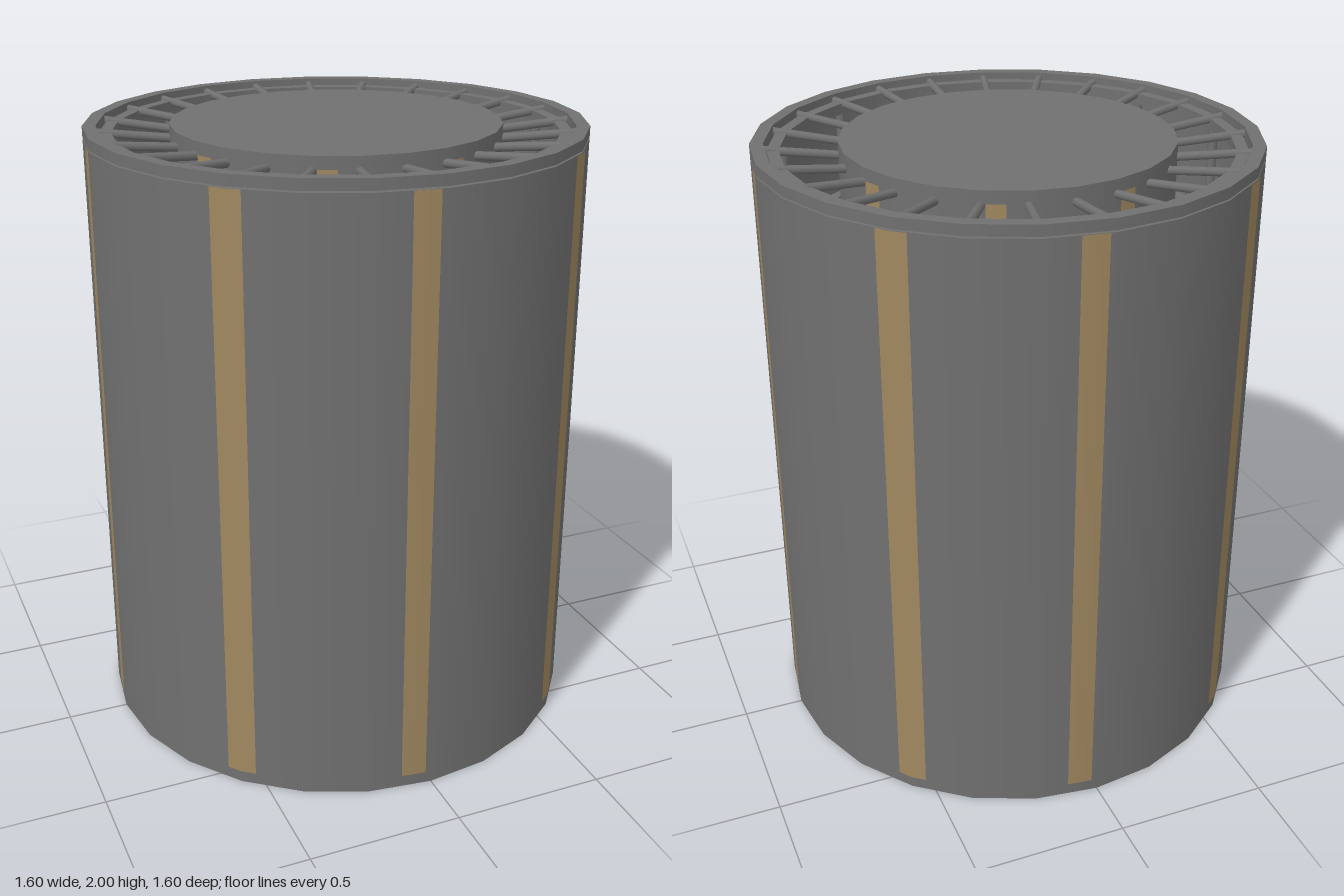
import * as THREE from 'three';

const SIDES = 24;
const STEP = (Math.PI * 2) / SIDES;
const rad = THREE.MathUtils.degToRad;

export function createModel() {
  const root = new THREE.Group();
  root.name = 'ribbedCylinder';
  const grey = new THREE.MeshStandardMaterial({ color: 0x707070 });
  grey.name = 'grey metal';
  const gold = new THREE.MeshStandardMaterial({ color: 0xa08860 });
  gold.name = 'dull gold';

  const add = (name, geo, mat, parent = root) => {
    const m = new THREE.Mesh(geo, mat);
    m.name = name;
    parent.add(m);
    return m;
  };
  const group = (name) => {
    const g = new THREE.Group();
    g.name = name;
    root.add(g);
    return g;
  };

  // Band of rectangular section; doubled corners keep its edges sharp
  const band = (rOut, rIn, y0, y1) => {
    const c = [[rOut, y0], [rOut, y1], [rIn, y1], [rIn, y0]];
    const pts = [];
    for (let i = 0; i < 4; i++) {
      pts.push(new THREE.Vector2(...c[i]), new THREE.Vector2(...c[(i + 1) % 4]));
    }
    return new THREE.LatheGeometry(pts, SIDES);
  };

  // Thin strip that follows the flat sides of a 24-sided cylinder
  const strip = (r, from, to, y0, y1) => {
    const geo = new THREE.CylinderGeometry(r, r, y1 - y0, 2, 1, true, rad(from), rad(to - from));
    geo.translate(0, (y0 + y1) / 2, 0);
    const p = geo.attributes.position;
    for (let i = 0; i < p.count; i++) {
      const a = Math.atan2(p.getX(i), p.getZ(i));
      const off = a - (Math.floor(a / STEP) + 0.5) * STEP;
      const d = (r * Math.cos(STEP / 2)) / Math.cos(off) + 0.003;
      p.setXYZ(i, Math.sin(a) * d, p.getY(i), Math.cos(a) * d);
    }
    return geo;
  };

  // Outer shell and the top rim, parted by a hairline gap
  add('outerWall', band(0.8, 0.762, 0, 1.96), grey);
  add('topRim', band(0.8, 0.758, 1.965, 2), grey);

  // Gold stripes on the shell
  const stripes = group('wallStripes');
  for (let i = 0; i < 4; i++) {
    add('sideStripe', strip(0.8, -7.2 + i * 90, -1.4 + i * 90, 0.04, 1.96), gold, stripes);
    add('cornerStripe', strip(0.8, 41.5 + i * 90, 48.5 + i * 90, 0.04, 1.96), gold, stripes);
  }

  // Inner frame: seven hoops and twelve posts
  const frame = group('innerFrame');
  for (let i = 0; i < 7; i++) {
    const y = 0.04 + i * 0.32;
    add('hoop', band(0.75, 0.712, y - 0.018, y + 0.018), grey, frame);
  }
  for (let i = 0; i < 12; i++) {
    const a = rad(i * 30);
    const post = add('post', new THREE.CylinderGeometry(0.016, 0.016, 1.92, 8), grey, frame);
    post.position.set(Math.sin(a) * 0.732, 1, Math.cos(a) * 0.732);
  }

  // Central drum with its own stripes
  const drum = group('centralDrum');
  const body = add('drumBody', new THREE.CylinderGeometry(0.53, 0.53, 1.1, SIDES), grey, drum);
  body.position.y = 1.45;
  for (let i = 0; i < 8; i++) {
    add('drumStripe', strip(0.53, 16.5 + i * 45, 23 + i * 45, 0.92, 1.96), gold, drum);
  }

  // Spokes joining the drum to the shell
  const spokes = group('spokes');
  for (let i = 0; i < SIDES; i++) {
    const arm = new THREE.Group();
    arm.name = 'spoke';
    arm.rotation.y = i * STEP;
    const rod = add('spokeRod', new THREE.CylinderGeometry(0.014, 0.014, 0.26, 8), grey, arm);
    rod.position.set(0, 1.965, 0.63);
    rod.rotation.x = Math.PI / 2 - 0.1;
    spokes.add(arm);
  }

  return root;
}
